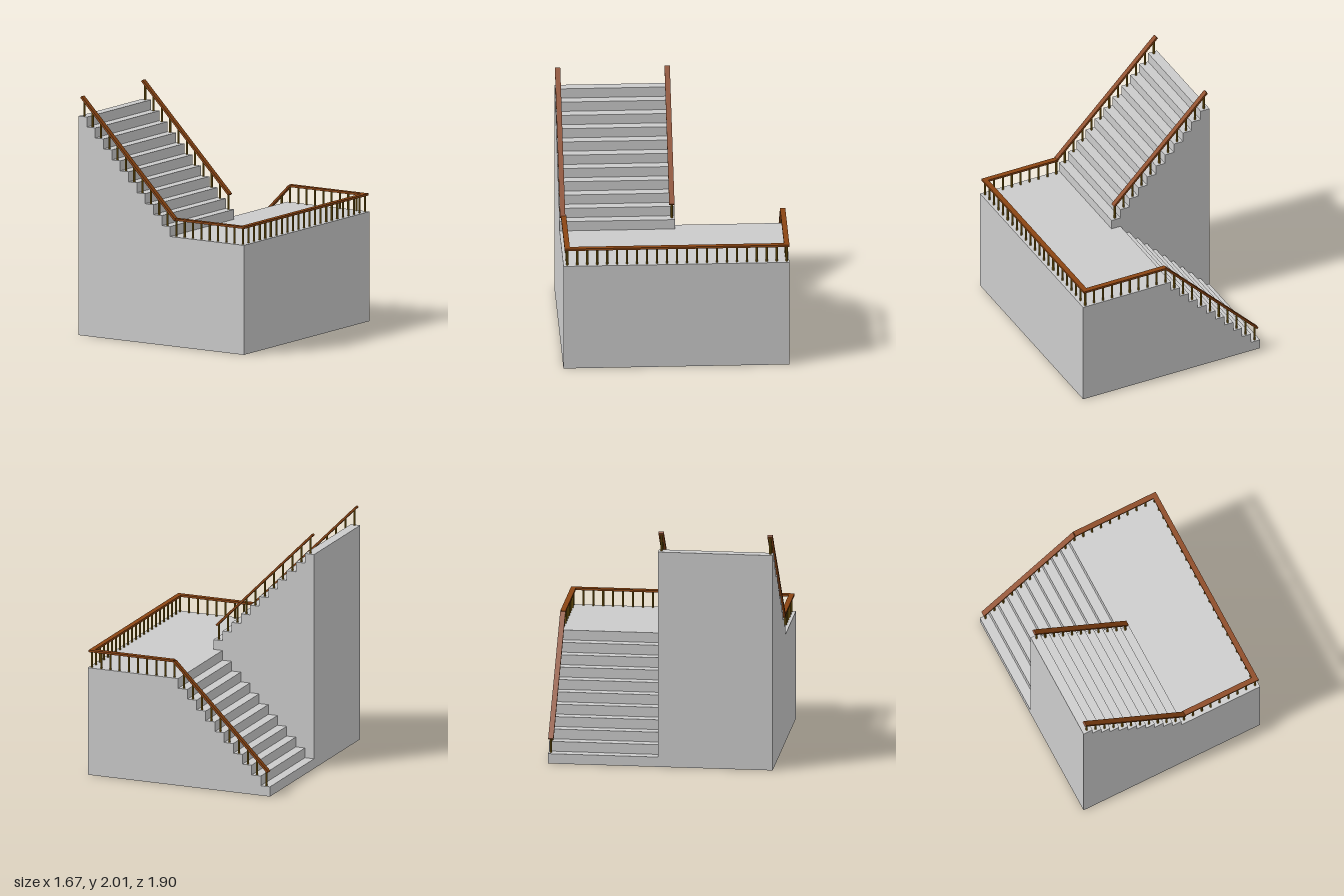
import * as THREE from 'three';

const STEPS = 11, RISE = 0.0838, TREAD = 0.0828;
const X0 = -0.8225, X1 = 0.8225, Z = 0.9365, SPLIT = -0.02;
const LANDING = STEPS * RISE;
const RAIL_H = 0.141, RAIL_W = 0.044, RAIL_T = 0.018;

const concrete = new THREE.MeshStandardMaterial({ color: 0xcccccc, flatShading: true });
const wood = new THREE.MeshStandardMaterial({ color: 0x8b4513, flatShading: true });
const brass = new THREE.MeshStandardMaterial({ color: 0x8b6914, flatShading: true });

const treadX = (i) => X0 + TREAD * (i + 0.5);
const upperY = (i) => RISE * (2 * STEPS - i);
const lowerY = (i) => RISE * (i + 1);

export function createModel() {
  const model = new THREE.Group();
  // the whole staircase stands very slightly turned
  model.rotation.y = -0.0135;

  const add = (name, geometry, material) => {
    const mesh = new THREE.Mesh(geometry, material);
    mesh.name = name;
    model.add(mesh);
    return mesh;
  };

  // solid stepped block between two depths; heightAt gives each tread's level
  function block(name, count, heightAt, zBack, zFront) {
    const s = new THREE.Shape();
    s.moveTo(X0, 0);
    s.lineTo(X1, 0);
    s.lineTo(X1, LANDING);
    for (let i = count - 1; i >= 0; i--) {
      const right = X0 + TREAD * (i + 1);
      s.lineTo(right, i === count - 1 ? LANDING : heightAt(i + 1));
      s.lineTo(right, heightAt(i));
    }
    s.lineTo(X0, heightAt(0));
    const g = new THREE.ExtrudeGeometry(s, { depth: zFront - zBack, bevelEnabled: false });
    g.translate(0, 0, zBack);
    add(name, g, concrete);
  }
  block('upperFlight', STEPS, upperY, SPLIT, Z);
  block('lowerFlight', STEPS - 1, lowerY, -Z, SPLIT);

  // straight handrail running along x, level or sloped
  function rail(name, xa, ya, xb, yb, z) {
    const g = new THREE.BoxGeometry(Math.hypot(xb - xa, yb - ya), RAIL_T, RAIL_W);
    const mesh = add(name, g, wood);
    mesh.position.set((xa + xb) / 2, (ya + yb) / 2, z);
    mesh.rotation.z = Math.atan2(yb - ya, xb - xa);
  }

  const postGeometry = new THREE.CylinderGeometry(0.009, 0.009, RAIL_H, 8);
  function post(x, y, z) {
    add('baluster', postGeometry, brass).position.set(x, y + RAIL_H / 2, z);
  }

  const frontZ = 0.912, landFrontZ = 0.904, midZ = 0.004, backZ = -0.915, sideX = 0.793;
  const slope = RISE / TREAD;
  const upAt = (x) => upperY(0) + RAIL_H - (x - treadX(0)) * slope;
  const downAt = (x) => lowerY(0) + RAIL_H + (x - treadX(0)) * slope;
  const landY = LANDING + RAIL_H + 0.003;
  const top = -0.802, joinFront = treadX(STEPS), joinBack = treadX(STEPS - 1);

  // sloped handrails
  rail('frontHandrail', top, upAt(top), joinFront, upAt(joinFront), frontZ);
  rail('middleHandrail', top, upAt(top), 0.062, upAt(0.062), midZ);
  rail('backHandrail', top, downAt(top), joinBack, downAt(joinBack), backZ);

  // level handrails round the landing
  const outer = sideX + RAIL_W / 2;
  rail('landingFrontRail', joinFront - 0.01, landY, outer, landY, landFrontZ);
  rail('landingBackRail', joinBack, landY, outer, landY, backZ);
  const sideLength = landFrontZ - backZ + RAIL_W;
  add('landingSideRail', new THREE.BoxGeometry(RAIL_W, RAIL_T, sideLength), wood)
    .position.set(sideX, landY, (landFrontZ + backZ) / 2);

  // one baluster per tread
  for (let i = 0; i < STEPS; i++) {
    post(treadX(i), upperY(i), frontZ);
    post(treadX(i), upperY(i), midZ);
    post(treadX(i), lowerY(i), backZ);
  }
  // landing balusters at the same spacing
  for (let i = STEPS; i < STEPS + 9; i++) {
    post(treadX(i), LANDING, landFrontZ);
    post(treadX(i), LANDING, backZ);
  }
  const sideCount = 22;
  for (let i = 1; i < sideCount; i++) {
    post(sideX, LANDING, THREE.MathUtils.lerp(backZ, landFrontZ, i / sideCount));
  }
  return model;
}
